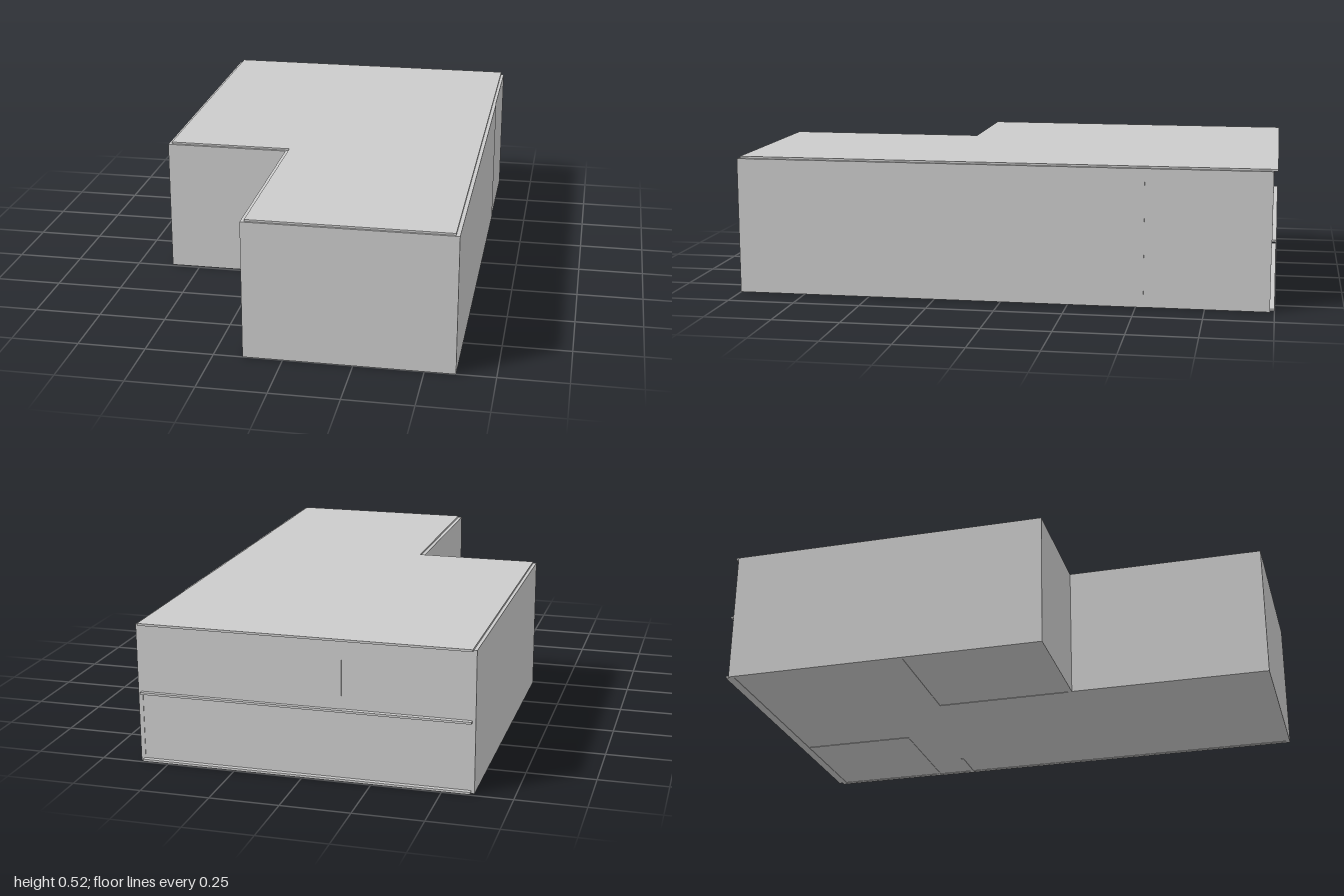
import * as THREE from 'three';

const grey = new THREE.MeshStandardMaterial({ color: 0xcccccc, flatShading: true });
const T = 0.016; // wall thickness

export function createModel() {
  const model = new THREE.Group();
  model.name = 'house';

  // L-shaped floor plates, poking out slightly at the back
  const plan = new THREE.Shape([
    [-0.6, 1], [0.596, 1], [0.596, -0.992], [-0.13, -0.992], [-0.13, -0.23], [-0.6, -0.23],
  ].map(([x, y]) => new THREE.Vector2(x, y)));
  const plateGeo = new THREE.ExtrudeGeometry(plan, { depth: 0.008, bevelEnabled: false });
  plateGeo.rotateX(-Math.PI / 2);
  [['groundSlab', 0.002], ['upperFloorSlab', 0.255], ['roofSlab', 0.51]].forEach(([name, y]) => {
    const plate = new THREE.Mesh(plateGeo, grey);
    plate.name = name;
    plate.position.y = y;
    model.add(plate);
  });

  // Upright panel filling a rectangle of the plan
  function wall(name, x0, x1, z0, z1, y0 = 0, y1 = 0.511) {
    const mesh = new THREE.Mesh(new THREE.BoxGeometry(x1 - x0, y1 - y0, z1 - z0), grey);
    mesh.name = name;
    mesh.position.set((x0 + x1) / 2, (y0 + y1) / 2, (z0 + z1) / 2);
    model.add(mesh);
  }

  // Outer walls
  wall('leftWallFront', 0.61 - T, 0.61, -0.528, 1);
  wall('leftWallBack', 0.608 - T, 0.608, -0.984, -0.528);
  wall('rightWall', -0.612, -0.612 + T, -0.984, 0.24);
  wall('frontWall', -0.144, 0.61, 1 - T, 1);
  wall('notchFrontWall', -0.612, -0.13, 0.24 - T, 0.24);
  wall('notchSideWall', -0.144, -0.144 + T, 0.23, 1);
  wall('backWallLower', -0.61, 0.606, -0.982, -0.982 + T, 0, 0.26);
  wall('backWallUpperRight', -0.61, -0.142, -0.982, -0.982 + T, 0.26);
  wall('backWallUpperLeft', -0.142, 0.606, -0.985, -0.985 + T, 0.26);

  // Inner partitions, their feet showing under the ground slab
  wall('roomWallSide', 0.15, 0.16, -0.98, -0.525);
  wall('roomWallFront', 0.15, 0.605, -0.535, -0.525);
  wall('stubWall', 0.44, 0.605, -0.385, -0.375);
  wall('rightRoomSide', -0.14, -0.13, -0.305, 0.235);
  wall('rightRoomBack', -0.605, -0.13, -0.305, -0.295);
  wall('upperPartition', -0.145, -0.135, -0.98, -0.3, 0.26);

  return model;
}
